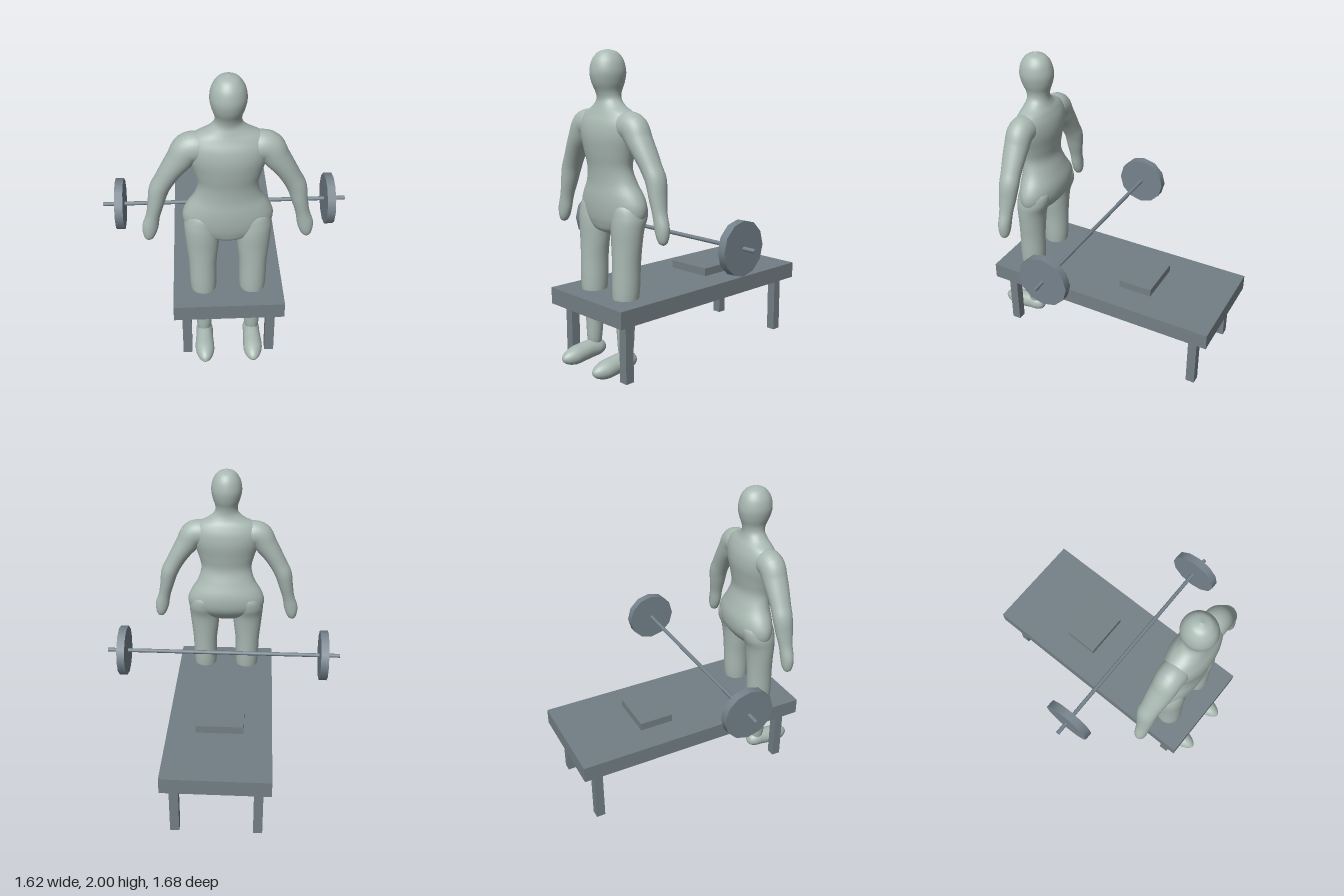
import * as THREE from 'three';

const skin = new THREE.MeshStandardMaterial({ color: 0xa9b8b2 });
skin.name = 'pale grey green';
const benchGrey = new THREE.MeshStandardMaterial({ color: 0x737f85 });
benchGrey.name = 'bench grey';
const steel = new THREE.MeshStandardMaterial({ color: 0x75828c });
steel.name = 'steel grey';

function add(parent, name, geometry, material, x = 0, y = 0, z = 0) {
  const mesh = new THREE.Mesh(geometry, material);
  mesh.name = name;
  mesh.position.set(x, y, z);
  parent.add(mesh);
  return mesh;
}

// Smooth skin through elliptical sections [x, y, z, ru, rv].
// Rings face dir, or follow the path when dir is null; rv is measured along v.
function loft(sections, dir, v, rings = 48, sides = 28) {
  const curve = (f) => new THREE.CatmullRomCurve3(sections.map(f), false, 'catmullrom', 0.5);
  const path = curve((s) => new THREE.Vector3(s[0], s[1], s[2]));
  const radii = curve((s) => new THREE.Vector3(s[3], s[4], 0));
  const pos = [], index = [];
  for (let i = 0; i <= rings; i++) {
    const t = i / rings;
    const c = path.getPoint(t), r = radii.getPoint(t);
    const u = new THREE.Vector3().crossVectors(v, dir || path.getTangent(t)).normalize();
    for (let j = 0; j < sides; j++) {
      const a = (j / sides) * Math.PI * 2;
      const p = c.clone()
        .addScaledVector(u, Math.max(r.x, 0.001) * Math.cos(a))
        .addScaledVector(v, Math.max(r.y, 0.001) * Math.sin(a));
      pos.push(p.x, p.y, p.z);
      if (i < rings) {
        const k = (j + 1) % sides, a0 = i * sides + j, b0 = i * sides + k;
        index.push(a0, b0, a0 + sides, b0, b0 + sides, a0 + sides);
      }
    }
  }
  const g = new THREE.BufferGeometry();
  g.setAttribute('position', new THREE.Float32BufferAttribute(pos, 3));
  g.setIndex(index);
  g.computeVertexNormals();
  return g;
}

const X = new THREE.Vector3(1, 0, 0);
const Y = new THREE.Vector3(0, 1, 0);
const Z = new THREE.Vector3(0, 0, 1);

function buildFigure() {
  const figure = new THREE.Group();
  figure.name = 'figure';

  // Torso, neck and head: [y, half width, front z, back z]
  const torso = [
    [0.875, 0.01, 0.58, 0.56], [0.9, 0.13, 0.63, 0.49], [0.95, 0.235, 0.65, 0.44],
    [1.0, 0.27, 0.66, 0.41], [1.06, 0.275, 0.665, 0.4], [1.12, 0.252, 0.665, 0.405],
    [1.2, 0.203, 0.66, 0.43], [1.29, 0.18, 0.665, 0.455], [1.38, 0.2, 0.68, 0.445],
    [1.48, 0.232, 0.69, 0.43], [1.56, 0.24, 0.68, 0.435], [1.62, 0.205, 0.655, 0.455],
    [1.66, 0.13, 0.64, 0.475], [1.7, 0.085, 0.63, 0.485], [1.745, 0.078, 0.64, 0.48],
    [1.8, 0.095, 0.665, 0.46], [1.86, 0.106, 0.677, 0.45], [1.92, 0.097, 0.667, 0.46],
    [1.96, 0.076, 0.645, 0.48], [1.985, 0.05, 0.615, 0.51], [1.999, 0.003, 0.567, 0.561],
  ].map(([y, w, f, b]) => [0, y, (f + b) / 2, w, (f - b) / 2]);
  add(figure, 'body', loft(torso, Y, Z, 100, 40), skin);

  for (const s of [1, -1]) {
    const side = s > 0 ? 'left' : 'right';
    const mirror = (list) => list.map(([x, ...rest]) => [x * s, ...rest]);

    // Arm from inside the chest to the fingertips
    add(figure, side + 'Arm', loft(mirror([
      [0.1, 1.53, 0.56, 0.06, 0.06], [0.16, 1.545, 0.56, 0.088, 0.085],
      [0.23, 1.535, 0.56, 0.092, 0.086], [0.28, 1.465, 0.56, 0.08, 0.082],
      [0.328, 1.395, 0.557, 0.068, 0.076], [0.375, 1.315, 0.553, 0.061, 0.068],
      [0.41, 1.245, 0.55, 0.06, 0.066], [0.432, 1.15, 0.555, 0.05, 0.058],
      [0.453, 1.06, 0.56, 0.043, 0.046], [0.473, 0.98, 0.563, 0.049, 0.042],
      [0.482, 0.925, 0.564, 0.04, 0.037], [0.488, 0.89, 0.565, 0.024, 0.024],
      [0.49, 0.876, 0.565, 0.001, 0.001],
    ]), null, Z, 64), skin);

    // Leg from inside the hip to the ankle
    add(figure, side + 'Leg', loft(mirror([
      [0.16, 0.07, 0.58, 0.03, 0.03], [0.158, 0.15, 0.582, 0.047, 0.048],
      [0.156, 0.25, 0.58, 0.055, 0.055], [0.155, 0.38, 0.58, 0.064, 0.062],
      [0.156, 0.46, 0.577, 0.078, 0.08], [0.157, 0.55, 0.573, 0.085, 0.088],
      [0.158, 0.7, 0.568, 0.088, 0.089], [0.157, 0.82, 0.563, 0.1, 0.092],
      [0.158, 0.92, 0.557, 0.108, 0.1], [0.16, 1.0, 0.54, 0.108, 0.112],
      [0.15, 1.08, 0.53, 0.09, 0.1], [0.14, 1.14, 0.53, 0.01, 0.01],
    ]), Y, Z), skin);

    // Foot from heel to toe
    add(figure, side + 'Foot', loft(mirror([
      [0.155, 0.08, 0.506, 0.001, 0.001], [0.155, 0.082, 0.52, 0.035, 0.035],
      [0.156, 0.085, 0.56, 0.054, 0.054], [0.157, 0.084, 0.62, 0.055, 0.06],
      [0.158, 0.077, 0.69, 0.06, 0.06], [0.157, 0.071, 0.75, 0.06, 0.058],
      [0.156, 0.068, 0.8, 0.044, 0.043], [0.156, 0.067, 0.83, 0.022, 0.022],
      [0.156, 0.067, 0.841, 0.001, 0.001],
    ]), Z, Y), skin);
  }
  return figure;
}

function buildBench() {
  const bench = new THREE.Group();
  bench.name = 'bench';
  add(bench, 'benchTop', new THREE.BoxGeometry(0.7, 0.108, 1.62), benchGrey, 0, 0.435, -0.033);
  add(bench, 'headPad', new THREE.BoxGeometry(0.32, 0.054, 0.234), benchGrey, 0, 0.515, -0.24);
  for (const x of [-0.27, 0.27]) {
    for (const z of [0.67, -0.733]) {
      add(bench, 'benchLeg', new THREE.BoxGeometry(0.06, 0.384, 0.06), benchGrey, x, 0.192, z);
    }
  }
  return bench;
}

function buildBarbell() {
  const barbell = new THREE.Group();
  barbell.name = 'barbell';
  barbell.position.set(0, 0.825, 0.127);
  const rod = (name, r, len, x) => {
    const g = new THREE.CylinderGeometry(r, r, len, 12).rotateZ(Math.PI / 2);
    add(barbell, name, g, steel, x);
  };
  rod('bar', 0.0135, 1.62, 0);
  for (const x of [-0.695, 0.695]) rod('weightPlate', 0.172, 0.054, x);
  return barbell;
}

export function createModel() {
  const model = new THREE.Group();
  model.name = 'benchAndLifter';
  model.add(buildFigure(), buildBench(), buildBarbell());
  return model;
}
